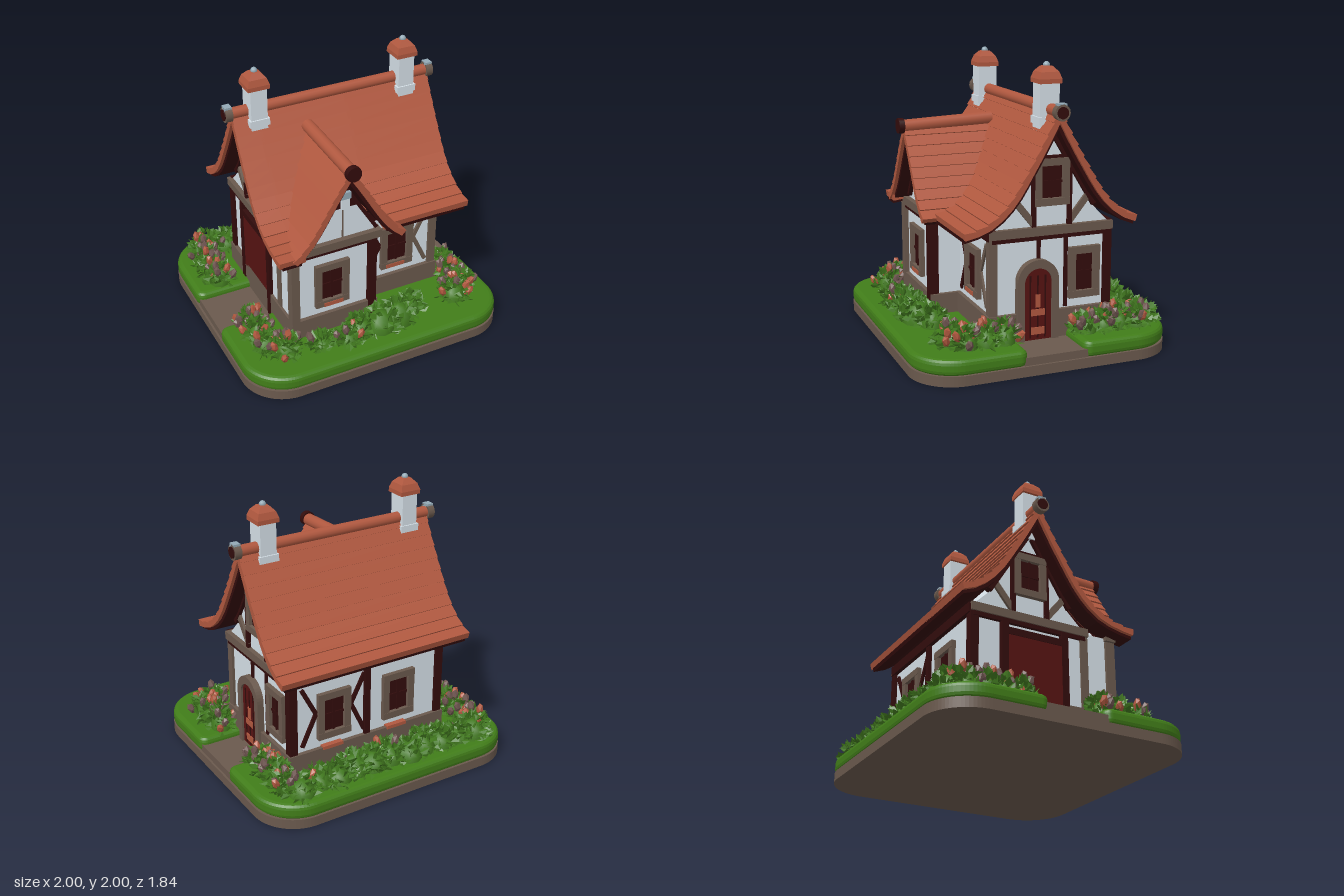
import * as THREE from 'three';
import { mergeGeometries } from 'three/addons/utils/BufferGeometryUtils.js';

const mat = (name, color, side = THREE.FrontSide) => {
  const m = new THREE.MeshStandardMaterial({ color, side });
  m.name = name;
  return m;
};

export function createModel() {
  const M = {
    plaster: mat('plaster', 0xe5f0f8), timber: mat('timber brown', 0x6a594d),
    dark: mat('dark wood', 0x320c0c), roof: mat('terracotta', 0xb0583f),
    grass: mat('grass', 0x417d19), leaf: mat('leaf', 0x427a1f, THREE.DoubleSide),
    mauve: mat('dry blossom', 0x6f5550), metal: mat('metal', 0x93a9b5), door: mat('door red', 0x561312),
  };
  const root = new THREE.Group();
  root.name = 'cottage';
  let seed = 7;
  const rnd = () => (seed = (seed * 16807) % 2147483647) / 2147483647;

  const add = (parent, name, geo, m, x = 0, y = 0, z = 0) => {
    const mesh = new THREE.Mesh(geo, m);
    mesh.name = name;
    mesh.position.set(x, y, z);
    parent.add(mesh);
    return mesh;
  };
  // box given by its min and max along each axis
  const block = (name, m, x0, x1, y0, y1, z0, z1) => add(root, name,
    new THREE.BoxGeometry(x1 - x0, y1 - y0, z1 - z0), m, (x0 + x1) / 2, (y0 + y1) / 2, (z0 + z1) / 2);
  const poly = pts => new THREE.Shape(pts.map(p => new THREE.Vector2(...p)));
  const extrude = (shape, depth, o = {}) => new THREE.ExtrudeGeometry(shape, { depth, bevelEnabled: false, curveSegments: 10, ...o });

  // ---- ground: slab, two lawns and the path between them
  const plot = (x, z0, z1, rNear, rFar) => {
    const s = new THREE.Shape(), q = Math.PI / 2;
    s.absarc(x - rNear, z0 + rNear, rNear, -q, 0).absarc(x - rFar, z1 - rFar, rFar, 0, q);
    s.absarc(-x + rFar, z1 - rFar, rFar, q, 2 * q).absarc(-x + rNear, z0 + rNear, rNear, 2 * q, 3 * q);
    return s;
  };
  add(root, 'baseSlab', extrude(plot(1, -0.932, 0.912, 0.31, 0.31), 0.07).rotateX(-Math.PI / 2), M.timber);
  for (const front of [true, false]) {
    const g = extrude(plot(0.998, 0.2, front ? 0.931 : 0.911, 0.06, 0.31), 0.04,
      { bevelEnabled: true, bevelThickness: 0.035, bevelSize: 0.035, bevelOffset: -0.035, bevelSegments: 3 });
    g.rotateX(-Math.PI / 2);
    if (front) g.rotateY(Math.PI);
    add(root, front ? 'frontLawn' : 'backLawn', g, M.grass, 0, 0.1, 0);
  }
  block('path', M.timber, -0.985, 0.985, 0.06, 0.125, -0.23, 0.23);

  // ---- walls and foundations
  const RZ = -0.09, BX = -0.19;
  block('foundation', M.timber, -0.59, 0.69, 0.1, 0.32, -0.55, 0.37);
  block('bayFoundation', M.timber, -0.59, 0.08, 0.1, 0.32, 0.2, 0.57);
  const half = [[0.43, 0.3], [0.43, 0.9], [0.3, 1.03], [0.18, 1.22]];
  const gable = [...half, [0, 1.52], ...half.map(([d, y]) => [-d, y]).reverse()];
  add(root, 'mainWalls', extrude(poly(gable), 1.22).rotateY(-Math.PI / 2), M.plaster, 0.66, 0, RZ);
  add(root, 'bayWalls', extrude(poly([[-0.57, 0.3], [0.05, 0.3], [0.05, 0.95], [-0.05, 1.1], [BX, 1.32],
    [-0.33, 1.1], [-0.43, 0.95], [-0.57, 0.88]]), 0.34), M.plaster, 0, 0, 0.2);

  // ---- roofs: stepped courses following a flared curve
  const curve = pts => new THREE.SplineCurve(pts.map(p => new THREE.Vector2(...p)));
  const mainPts = [[0, 1.7], [0.1, 1.51], [0.2, 1.335], [0.33, 1.13], [0.46, 1.005], [0.59, 0.947], [0.75, 0.92]];
  const mainCurve = curve(mainPts);
  const bayCurve = curve([[0, 1.5], [0.08, 1.38], [0.16, 1.25], [0.25, 1.1], [0.33, 0.99], [0.42, 0.91]]);
  const slopeShape = (c, n, end, top, bottom, step) => {
    const up = [], low = [];
    for (let i = 0; i <= n; i++) {
      const p = c.getPointAt(i / n), t = c.getTangentAt(i / n);
      if (p.x > end + 0.02) break;
      const off = o => i ? [p.x - t.y * o, p.y + t.x * o] : [0, p.y + o / t.x];
      if (i) up.push(off(top + step));
      up.push(off(top));
      low.unshift(off(bottom));
    }
    if (step) up.pop();
    return poly([...low, ...up].reverse());
  };
  const layers = [['Tiles', M.roof, 0, -0.037, 0.011, 0], ['Lining', M.dark, -0.032, -0.06, 0, 0.025]];
  for (const [n, m, top, bottom, step, inset] of layers) {
    const slope = (name, end, x0, x1, back) => add(root, name + n,
      extrude(slopeShape(mainCurve, 13, end, top, bottom, step), x1 - x0 - 2 * inset).rotateY(back ? Math.PI / 2 : -Math.PI / 2),
      m, back ? x0 + inset : x1 - inset, 0, RZ);
    slope('backRoof', 0.59, -0.71, 0.8, true);
    slope('frontRoofRight', 0.66, 0.12, 0.8, false);
    slope('frontRoofMiddle', 0.52, -0.54, 0.14, false);
    slope('frontRoofLeft', 0.75, -0.71, -0.52, false);
  }
  // depth of the main front slope at height y
  const roofZ = y => {
    for (let i = 1; i < mainPts.length; i++) {
      const [d0, y0] = mainPts[i - 1], [d1, y1] = mainPts[i];
      if (y >= y1) return RZ + d0 + (d1 - d0) * Math.max(0, (y0 - y) / (y0 - y1));
    }
    return 0.55;
  };
  // bay roof, its rear edge trimmed along the valley
  for (const side of [1, -1]) for (const [n, m, top, bottom, step, inset] of layers) {
    const g = extrude(slopeShape(bayCurve, 9, 0.43, top, bottom, step), 1);
    if (side < 0) g.rotateY(Math.PI).translate(0, 0, 1);
    const p = g.attributes.position;
    for (let i = 0; i < p.count; i++)
      p.setZ(i, p.getZ(i) > 0.5 ? 0.67 - inset : Math.min(0.55, roofZ(p.getY(i)) - 0.04));
    add(root, (side > 0 ? 'bayRoofRight' : 'bayRoofLeft') + n, g, m, BX, 0, 0);
  }
  // ridge rolls and their end caps
  const roll = (name, r, len, m, x, y, z, alongX) => {
    const g = new THREE.CylinderGeometry(r, r, len, 14);
    alongX ? g.rotateZ(Math.PI / 2) : g.rotateX(Math.PI / 2);
    return add(root, name, g, m, x, y, z);
  };
  roll('mainRidge', 0.04, 1.51, M.roof, 0.045, 1.69, RZ, true);
  roll('bayRidge', 0.045, 0.68, M.roof, BX, 1.51, 0.35, false).rotation.x = 0.04;
  for (const [x, s] of [[-0.735, -1], [0.81, 1]]) {
    roll('ridgeEnd', 0.055, 0.05, M.timber, x, 1.69, RZ, true);
    roll('ridgeEndFace', 0.04, 0.02, M.dark, x + s * 0.022, 1.69, RZ, true);
    block('ridgeEndCap', M.metal, x - 0.025, x + 0.025, 1.72, 1.75, RZ - 0.03, RZ + 0.03);
  }
  roll('bayRidgeEnd', 0.055, 0.04, M.dark, BX, 1.5, 0.69, false);

  // ---- chimneys
  const CZ = -0.078;
  for (const x of [-0.535, 0.595]) {
    block('chimneyFoot', M.plaster, x - 0.072, x + 0.072, 1.59, 1.64, CZ - 0.08, CZ + 0.08);
    block('chimneyShaft', M.plaster, x - 0.06, x + 0.06, 1.5, 1.88, CZ - 0.07, CZ + 0.07);
    const cap = new THREE.LatheGeometry([[0, 1.86], [0.112, 1.86], [0.112, 1.89], [0.09, 1.935], [0.045, 1.97], [0, 1.975]]
      .map(p => new THREE.Vector2(...p)), 4).rotateY(Math.PI / 4).toNonIndexed();
    cap.computeVertexNormals();
    add(root, 'chimneyCap', cap, M.roof, x, 0, CZ);
    add(root, 'chimneyFinial', new THREE.SphereGeometry(0.024, 10, 8), M.metal, x, 1.976, CZ);
  }

  // ---- facades: local u runs to the viewer's right, faces local +z
  const facade = (name, rot, x, z) => {
    const f = new THREE.Group();
    f.name = name;
    f.position.set(x, 0, z);
    f.rotation.y = rot;
    root.add(f);
    return f;
  };
  const bar = (f, m, u0, y0, u1, y1, w = 0.05, d = 0.05, name = 'timberBeam') => {
    const b = add(f, name, new THREE.BoxGeometry(Math.hypot(u1 - u0, y1 - y0), w, d), m, (u0 + u1) / 2, (y0 + y1) / 2, 0);
    b.rotation.z = Math.atan2(y1 - y0, u1 - u0);
  };
  const windowAt = (f, u, y, w = 0.26, h = 0.35) => {
    const a = w / 2 - 0.025, b = h / 2 - 0.025;
    bar(f, M.dark, u - a, y, u + a, y, h - 0.04, 0.012, 'windowPane');
    for (const s of [1, -1]) {
      bar(f, M.timber, u + s * a, y - b, u + s * a, y + b, 0.05, 0.06, 'windowFrame');
      bar(f, M.timber, u - a - 0.025, y + s * b, u + a + 0.025, y + s * b, 0.05, 0.066, 'windowFrame');
    }
    bar(f, M.dark, u, y - b, u, y + b, 0.016, 0.03, 'windowBar');
    bar(f, M.dark, u - a, y, u + a, y, 0.016, 0.03, 'windowBar');
  };
  const sillTiles = (f, u) => bar(f, M.roof, u - 0.07, 0.405, u + 0.08, 0.405, 0.03, 0.075, 'sillTiles');
  // angled braces pinching towards a window
  const braces = (f, u, right) => [[1, right], [-1, M.dark]].forEach(([s, m]) => {
    bar(f, m, u + s * 0.25, 0.8, u + s * 0.14, 0.59, 0.03, 0.03, 'brace');
    bar(f, m, u + s * 0.25, 0.36, u + s * 0.14, 0.59, 0.03, 0.03, 'brace');
  });
  const bay = facade('bayFront', 0, 0, 0.54);
  windowAt(bay, -0.275, 0.565);
  sillTiles(bay, -0.275);
  bar(bay, M.timber, -0.6, 0.885, 0.1, 0.885, 0.06, 0.08);
  bar(bay, M.dark, -0.58, 0.84, 0.07, 0.84, 0.03);
  bar(bay, M.timber, -0.56, 0.3, -0.56, 0.85, 0.06, 0.07, 'cornerPost');
  bar(bay, M.dark, 0.035, 0.2, 0.035, 0.85, 0.06, 0.07, 'cornerPost');
  bar(bay, M.timber, BX, 0.92, BX, 1.16, 0.008, 0.02, 'gableStud');
  add(bay, 'gablePeak', extrude(poly([[-0.11, 1.17], [0.11, 1.17], [0, 1.36]]), 0.03), M.dark, BX, 0, 0);
  bar(bay, M.plaster, BX, 1.17, BX, 1.25, 0.06, 0.1, 'gableOrnament');
  bar(bay, M.metal, BX, 1.25, BX, 1.3, 0.075, 0.11, 'gableOrnamentCap');
  for (const s of [1, -1]) bar(bay, M.dark, BX + s * 0.25, 0.94, BX, 1.34, 0.025, 0.06, 'bargeboard');

  const front = facade('mainFront', 0, 0, 0.34);
  windowAt(front, 0.35, 0.56);
  sillTiles(front, 0.33);
  braces(front, 0.35, M.timber);
  bar(front, M.dark, 0.05, 0.875, 0.68, 0.875, 0.07, 0.06);

  const back = facade('backFace', Math.PI, 0, -0.52);
  for (const u of [-0.33, 0.2]) {
    windowAt(back, u, 0.56);
    bar(back, M.roof, u - 0.1, 0.32, u + 0.06, 0.32, 0.025, 0.08, 'sillTiles');
  }
  braces(back, -0.33, M.dark);
  bar(back, M.dark, -0.67, 0.875, 0.57, 0.875, 0.07, 0.06);
  bar(back, M.dark, -0.06, 0.3, -0.06, 0.87, 0.045);
  for (const x of [-0.55, 0.65]) for (const z of [-0.51, 0.33])
    block('cornerPost', z > 0 ? M.timber : M.dark, x - 0.03, x + 0.03, 0.3, 0.9, z - 0.03, z + 0.03);

  // gable ends share framing; c is the ridge line in local u
  const sideFace = (name, rot, x, c) => {
    const f = facade(name, rot, x, 0);
    bar(f, M.timber, c - 0.45, 0.88, c + 0.45, 0.88, 0.06, 0.07);
    bar(f, M.dark, c - 0.43, 0.835, c + 0.43, 0.835, 0.03);
    bar(f, M.dark, c - 0.16, 1.37, c + 0.16, 1.37, 0.035);
    for (const s of [1, -1]) {
      bar(f, M.timber, c + s * 0.13, 0.93, c + s * 0.3, 1.14, 0.045, 0.04, 'gableBrace');
      bar(f, M.dark, c + s * 0.13, 0.91, c + s * 0.13, 1.38, 0.03);
      bar(f, M.dark, c + s * 0.31, 1.035, c, 1.545, 0.035, 0.05, 'bargeboard');
    }
    windowAt(f, c, 1.21, 0.25, 0.32);
    return f;
  };
  const east = sideFace('doorSide', Math.PI / 2, 0.66, 0.09);
  windowAt(east, 0.335, 0.565, 0.23, 0.36);
  bar(east, M.dark, 0, 0.68, 0, 0.85, 0.025, 0.03);
  bar(east, M.dark, 0.2, 0.33, 0.2, 0.85, 0.025, 0.03);
  const arch = (r, y0, y1, shape = new THREE.Shape()) =>
    shape.moveTo(-r, y0).lineTo(r, y0).lineTo(r, y1).absarc(0, y1, r, 0, Math.PI).lineTo(-r, y0);
  const frame = arch(0.15, 0.12, 0.54);
  frame.holes.push(arch(0.1, 0.121, 0.53, new THREE.Path()));
  add(east, 'doorFrame', extrude(frame, 0.05), M.timber, -0.015, 0, 0);
  add(east, 'door', extrude(arch(0.105, 0.12, 0.53), 0.034), M.door, -0.015, 0, 0);
  for (const [y, h, w] of [[0.19, 0.05, 0.1], [0.32, 0.045, 0.1], [0.4, 0.09, 0.035]])
    add(east, 'doorPlate', new THREE.BoxGeometry(w, h, 0.008), M.roof, -0.015, y, 0.037);
  for (const u of [-0.07, -0.015, 0.04])
    add(east, 'doorSeam', new THREE.BoxGeometry(0.01, 0.44, 0.006), M.dark, u, 0.36, 0.035);
  const west = sideFace('gateSide', -Math.PI / 2, -0.56, -0.09);
  bar(west, M.door, -0.06, 0.12, -0.06, 0.74, 0.42, 0.06, 'gate');
  for (const u of [-0.29, 0.17]) bar(west, M.dark, u, 0.12, u, 0.84, 0.05, 0.07, 'gatePost');
  bar(west, M.dark, -0.31, 0.76, 0.19, 0.76, 0.05, 0.07, 'gateLintel');

  // ---- planting: leafy mounds with blossoms, [x, z, radius, height, blossoms]
  const bushes = [[-0.12, 0.7, 0.12, 0.16, 0], [0.03, 0.71, 0.14, 0.2, 0], [0.18, 0.7, 0.14, 0.21, 0], [0.31, 0.64, 0.1, 0.18, 0],
    [-0.24, 0.74, 0.09, 0.11, 6], [-0.42, 0.7, 0.09, 0.08, 1], [0.68, 0.64, 0.11, 0.16, 7], [-0.68, 0.66, 0.11, 0.15, 7]];
  for (const s of [1, -1]) for (const z of [-0.68, -0.54, -0.42, -0.3, 0.3, 0.43, 0.56])
    bushes.push([s * 0.79, z, 0.1, 0.14 + 0.05 * rnd(), 7]);
  for (let i = 0; i < 11; i++) bushes.push([-0.72 + i * 0.144, -0.74 + 0.05 * (rnd() - 0.5), 0.13, 0.13 + 0.06 * rnd(), i % 5 ? 0 : 3]);
  const leaf = new THREE.BufferGeometry();
  leaf.setAttribute('position', new THREE.Float32BufferAttribute(
    [0, 0, 0, 0.45, 0.5, 0.15, 0, 1, 0, 0, 0, 0, 0, 1, 0, -0.45, 0.5, 0.15], 3));
  leaf.computeVertexNormals();
  const leaves = [], cores = [], blooms = [[], []], up = new THREE.Vector3(0, 1, 0);
  const place = (geo, pos, dir, sx, sy) => geo.clone().applyMatrix4(new THREE.Matrix4().compose(pos,
    new THREE.Quaternion().setFromUnitVectors(up, dir).multiply(new THREE.Quaternion().setFromAxisAngle(up, rnd() * 6.28)),
    new THREE.Vector3(sx, sy, sx)));
  const core = new THREE.SphereGeometry(1, 9, 4, 0, Math.PI * 2, 0, Math.PI / 2), bud = new THREE.IcosahedronGeometry(1, 0);
  for (const [x, z, r, h, n] of bushes) {
    cores.push(core.clone().scale(r * 0.78, h * 0.78, r * 0.78).translate(x, 0.16, z));
    const spot = (lift) => {
      const a = rnd() * Math.PI * 2, e = Math.asin(lift + (1 - lift) * rnd());
      const d = new THREE.Vector3(Math.cos(a) * Math.cos(e), Math.sin(e), Math.sin(a) * Math.cos(e));
      return [d, new THREE.Vector3(x + d.x * r * 0.75, 0.17 + d.y * h * 0.75, z + d.z * r * 0.75)];
    };
    for (let i = 0; i < 75; i++) {
      const [d, p] = spot(0.05);
      d.add(new THREE.Vector3(rnd() - 0.5, rnd() - 0.4, rnd() - 0.5).multiplyScalar(1.6)).normalize();
      leaves.push(place(leaf, p, d, 0.06, 0.05 + 0.03 * rnd()));
    }
    for (let i = 0; i < n; i++) {
      const [d, p] = spot(0.3);
      p.addScaledVector(d, 0.04);
      blooms[i % 2].push(place(bud, p, d.lerp(up, 0.5).normalize(), 0.028, 0.05));
    }
  }
  add(root, 'bushCores', mergeGeometries(cores), M.leaf);
  add(root, 'bushLeaves', mergeGeometries(leaves), M.leaf);
  add(root, 'dryBlossoms', mergeGeometries(blooms[0]), M.mauve);
  add(root, 'orangeBlossoms', mergeGeometries(blooms[1]), M.roof);
  return root;
}
